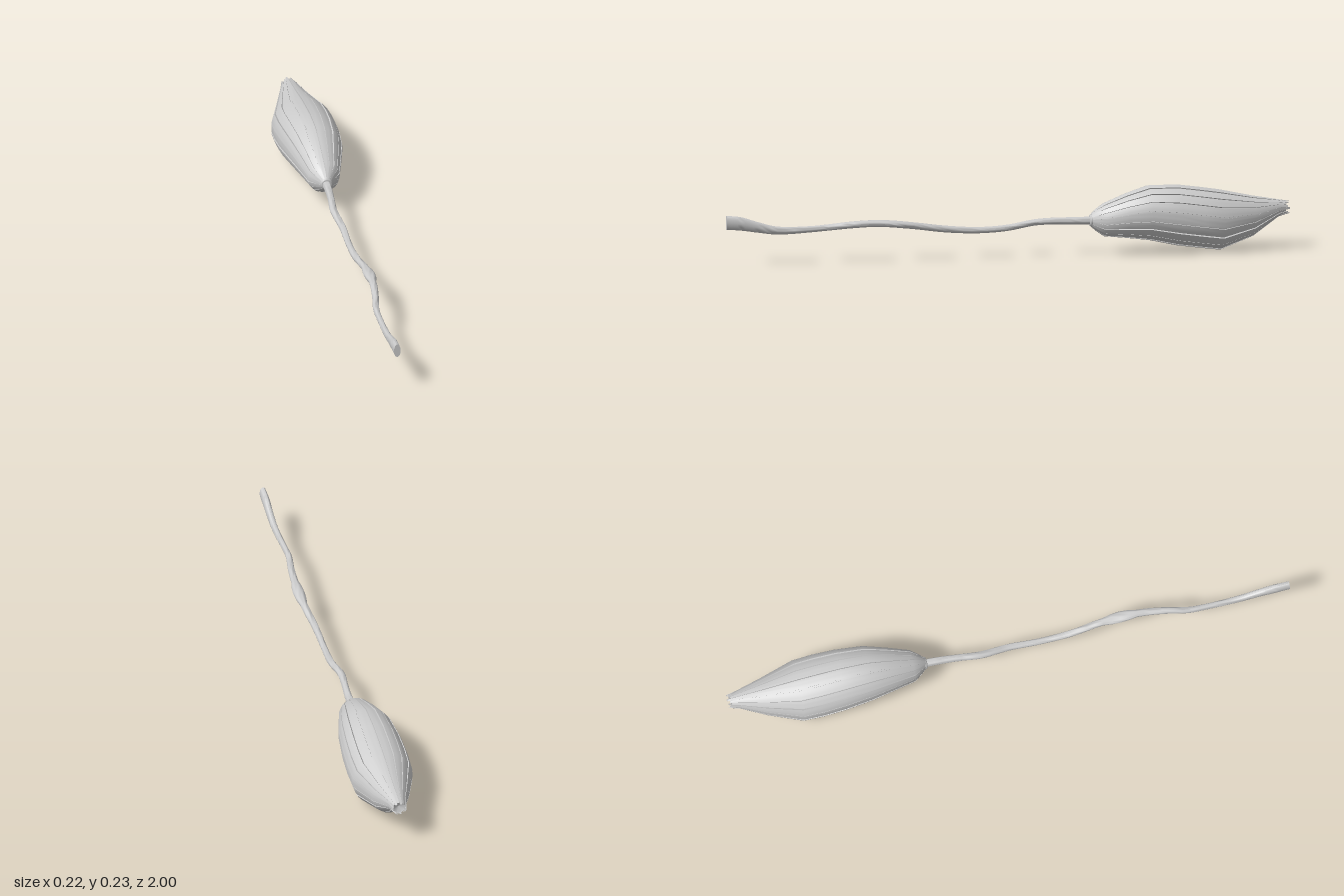
import * as THREE from 'three';
import { toCreasedNormals } from 'three/addons/utils/BufferGeometryUtils.js';

const material = new THREE.MeshStandardMaterial({ color: 0xcccccc, side: THREE.DoubleSide });

// Skin a list of rings (arrays of points) that run from +z to -z, counter-clockwise seen from +z.
function skin(rings, closed) {
  const n = rings[0].length, positions = [], index = [];
  rings.forEach(r => r.forEach(p => positions.push(p.x, p.y, p.z)));
  for (let i = 0; i < rings.length - 1; i++) {
    for (let j = 0; j < (closed ? n : n - 1); j++) {
      const k = (j + 1) % n;
      const a = i * n + j, b = i * n + k, c = a + n, d = b + n;
      index.push(a, c, b, b, c, d);
    }
  }
  const g = new THREE.BufferGeometry();
  g.setAttribute('position', new THREE.Float32BufferAttribute(positions, 3));
  g.setIndex(index);
  g.computeVertexNormals();
  return g;
}

// Point on an elliptical section [z, x, y, rx, ry].
const onSection = ([z, x, y, rx, ry], angle, scale = 1) =>
  new THREE.Vector3(x + rx * scale * Math.cos(angle), y + ry * scale * Math.sin(angle), z);

function addMesh(parent, name, geometry) {
  const mesh = new THREE.Mesh(geometry, material);
  mesh.name = name;
  parent.add(mesh);
}

// Crooked stick, flared at its free end.
function createHandle() {
  const rows = [
    [1, -0.003, 0.155, 0.012, 0.025], [0.95, -0.003, 0.15, 0.013, 0.024],
    [0.89, -0.002, 0.136, 0.012, 0.019], [0.82, -0.003, 0.122, 0.011, 0.014],
    [0.7, -0.007, 0.122, 0.01, 0.011], [0.64, -0.007, 0.126, 0.011, 0.011],
    [0.55, 0.007, 0.135, 0.012, 0.012], [0.46, 0.015, 0.138, 0.013, 0.012],
    [0.34, 0.014, 0.126, 0.013, 0.012], [0.22, 0.002, 0.108, 0.012, 0.012],
    [0.1, 0, 0.1, 0.011, 0.011], [0, 0, 0.105, 0.012, 0.011],
    [-0.1, -0.012, 0.119, 0.013, 0.011], [-0.17, -0.007, 0.122, 0.012, 0.012],
    [-0.24, -0.002, 0.121, 0.013, 0.013], [-0.34, 0, 0.12, 0.015, 0.015]
  ];
  const centre = new THREE.CatmullRomCurve3(rows.map(r => new THREE.Vector3(r[1], r[2], r[0])));
  const radii = new THREE.CatmullRomCurve3(rows.map(r => new THREE.Vector3(r[3], r[4], 0)));
  const sides = 14, steps = 60, rings = [];
  for (let i = 0; i <= steps; i++) {
    const c = centre.getPoint(i / steps), r = radii.getPoint(i / steps), ring = [];
    for (let j = 0; j < sides; j++) ring.push(onSection([c.z, c.x, c.y, r.x, r.y], j / sides * Math.PI * 2));
    rings.push(ring);
  }
  rings.unshift(rings[0].map(() => centre.getPoint(0)));
  return toCreasedNormals(skin(rings, true), 0.9);
}

// One bristle plate: a curved strip with side walls that sink into the bundle.
const bundle = [
  [-0.295, 0, 0.121, 0.018, 0.022], [-0.315, 0, 0.122, 0.036, 0.04],
  [-0.342, 0, 0.122, 0.056, 0.058], [-0.42, 0, 0.134, 0.077, 0.078],
  [-0.5, 0, 0.142, 0.097, 0.096], [-0.6, 0, 0.131, 0.108, 0.107],
  [-0.68, 0, 0.12, 0.111, 0.107], [-0.75, 0, 0.11, 0.108, 0.106],
  [-0.87, 0, 0.119, 0.066, 0.071], [-0.96, 0, 0.143, 0.033, 0.031],
  [-1, 0, 0.145, 0.023, 0.022]
];
function createBristle(i, count) {
  const step = Math.PI * 2 / count, a0 = i * step - step / 2;
  const trim = 0.014 * ((i * 7) % 5) / 4;                 // ragged ends
  const lift = i % 2 ? 0.985 : 1;
  const gap = 0.05 + 0.04 * ((i * 3) % 4) / 3;
  const rings = bundle.map((s, row) => {
    const last = row === bundle.length - 1;
    const section = last ? [s[0] + trim, ...s.slice(1)] : s;
    const edge = row < 2 ? 0 : gap;
    const ring = [onSection(section, a0 + edge * step, 0.92)];
    for (let j = 0; j <= 4; j++) {
      ring.push(onSection(section, a0 + step * (edge + (1 - 2 * edge) * j / 4), lift));
    }
    ring.push(onSection(section, a0 + (1 - edge) * step, 0.92));
    return ring;
  });
  return toCreasedNormals(skin(rings, false), 0.55);
}

// Solid core seen between the plates, hollowed a little at the tip.
function createCore() {
  const sides = 36;
  const rows = bundle.map(s => [s[0], s[1], s[2], s[3] * 0.94, s[4] * 0.94]);
  rows[rows.length - 1][0] = -0.985;
  rows.push([-0.975, 0, 0.145, 0, 0]);
  const rings = rows.map(s => Array.from({ length: sides }, (_, j) => onSection(s, j / sides * Math.PI * 2)));
  return toCreasedNormals(skin(rings, true), 0.7);
}

export function createModel() {
  const model = new THREE.Group();
  model.name = 'broom';
  addMesh(model, 'handle', createHandle());

  const brush = new THREE.Group();
  brush.name = 'brush';
  model.add(brush);
  addMesh(brush, 'brushCore', createCore());
  const count = 18;
  for (let i = 0; i < count; i++) addMesh(brush, 'bristle' + (i + 1), createBristle(i, count));

  // Small binding where the handle enters the brush.
  const binding = new THREE.TorusGeometry(0.015, 0.007, 8, 20);
  binding.translate(0, 0.121, -0.297);
  addMesh(brush, 'binding', binding);
  return model;
}
